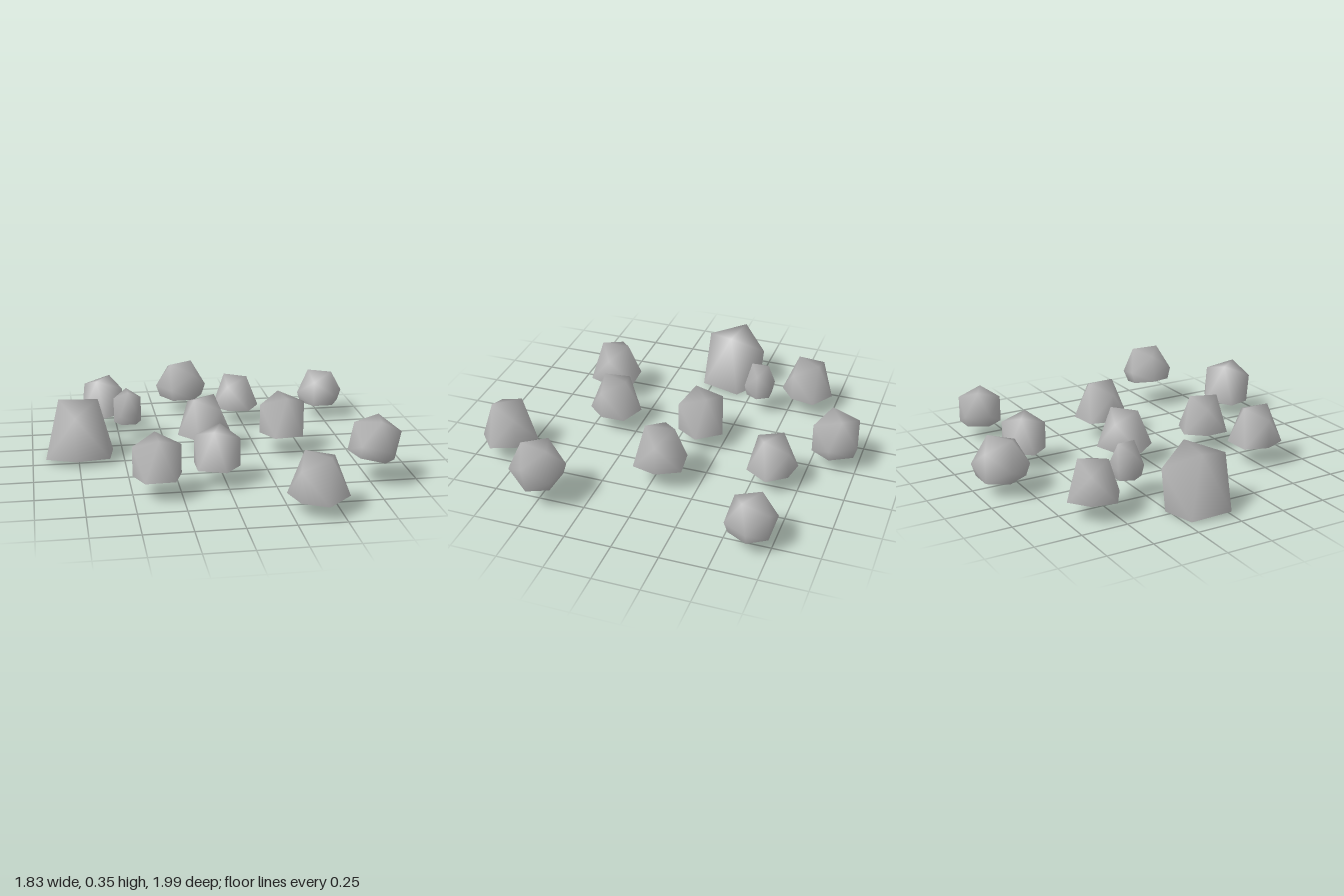
import * as THREE from 'three';

const P = (1 + Math.sqrt(5)) / 2;

// Open-bottomed rock shell: a short ridge, two shoulders and a six-sided foot.
// A bulged rock is widest at mid height and tapers in to its rim.
function rockGeometry(bulged) {
  const m = bulged ? -0.15 : -1;
  const points = [
    1, P, 0, -1, P, 0,             // 0-1 ridge
    0, 1, P, 0, 1, -P,             // 2-3 shoulders
    0, -1, P, P, m, 1, P, m, -1,   // 4-9 widest ring
    0, -1, -P, -P, m, -1, -P, m, 1,
  ];
  const faces = [
    0, 1, 2, 1, 0, 3,
    0, 2, 5, 0, 5, 6, 0, 6, 3,
    1, 9, 2, 1, 8, 9, 1, 3, 8,
    2, 4, 5, 2, 9, 4, 3, 6, 7, 3, 7, 8,
  ];
  if (bulged) {
    const x = P * 0.85, z = 0.85;
    points.push(x, -1, z, x, -1, -z, -x, -1, -z, -x, -1, z); // 10-13 rim
    faces.push(4, 5, 10, 5, 6, 11, 5, 11, 10, 6, 7, 11);
    faces.push(7, 8, 12, 8, 9, 13, 8, 13, 12, 9, 4, 13);
  }
  // put every corner in outward order
  const v = (i) => new THREE.Vector3().fromArray(points, i * 3);
  for (let i = 0; i < faces.length; i += 3) {
    const [a, b, c] = [v(faces[i]), v(faces[i + 1]), v(faces[i + 2])];
    const normal = b.clone().sub(a).cross(c.clone().sub(a));
    if (normal.dot(a.add(b).add(c)) < 0) {
      [faces[i + 1], faces[i + 2]] = [faces[i + 2], faces[i + 1]];
    }
  }
  const g = new THREE.BufferGeometry();
  g.setAttribute('position', new THREE.Float32BufferAttribute(points, 3));
  g.setIndex(faces);
  g.computeVertexNormals();
  return g;
}

export function createModel() {
  const model = new THREE.Group();
  model.name = 'rocks';
  const stone = new THREE.MeshStandardMaterial({ color: 0xb0b0b0, side: THREE.DoubleSide });
  stone.name = 'grey stone';
  const plainRock = rockGeometry(false);
  const bulgedRock = rockGeometry(true);

  // centre, size, shoulder direction in degrees, then optional shape, tilts and height stretch
  const rocks = [
    { at: [-0.74, 0.137, -0.105], size: 0.108, turn: 98, tiltX: -0.1, stretch: 1.1 },
    { at: [-0.08, 0.17, -0.87], size: 0.08, turn: 60, bulged: true },
    { at: [0.216, 0.167, -0.603], size: 0.073, turn: 122 },
    { at: [0.744, 0.16, -0.64], size: 0.073, turn: 118, bulged: true },
    { at: [-0.575, 0.178, -0.593], size: 0.077, turn: 32 },
    { at: [-0.454, 0.186, -0.34], size: 0.048, turn: -2, stretch: 1.47, bulged: true },
    { at: [-0.042, 0.18, -0.12], size: 0.08, turn: 52 },
    { at: [0.385, 0.2, -0.037], size: 0.08, turn: -7 },
    { at: [-0.047, 0.178, 0.386], size: 0.076, turn: 20 },
    { at: [-0.375, 0.19, 0.513], size: 0.078, turn: -2 },
    { at: [0.765, 0.225, 0.492], size: 0.078, turn: 10, tiltZ: -0.2, bulged: true },
    { at: [0.385, 0.168, 0.838], size: 0.083, turn: -39, tiltX: 0.05, tiltZ: 0.05 },
  ];
  rocks.forEach(({ at, size, turn, bulged, tiltX = 0, tiltZ = 0, stretch = 1 }, i) => {
    const rock = new THREE.Mesh(bulged ? bulgedRock : plainRock, stone);
    rock.name = `rock${i + 1}`;
    rock.position.set(...at);
    rock.scale.set(size, size * stretch, size);
    rock.rotation.set(tiltX, THREE.MathUtils.degToRad(90 - turn), tiltZ, 'XZY');
    model.add(rock);
  });
  return model;
}
